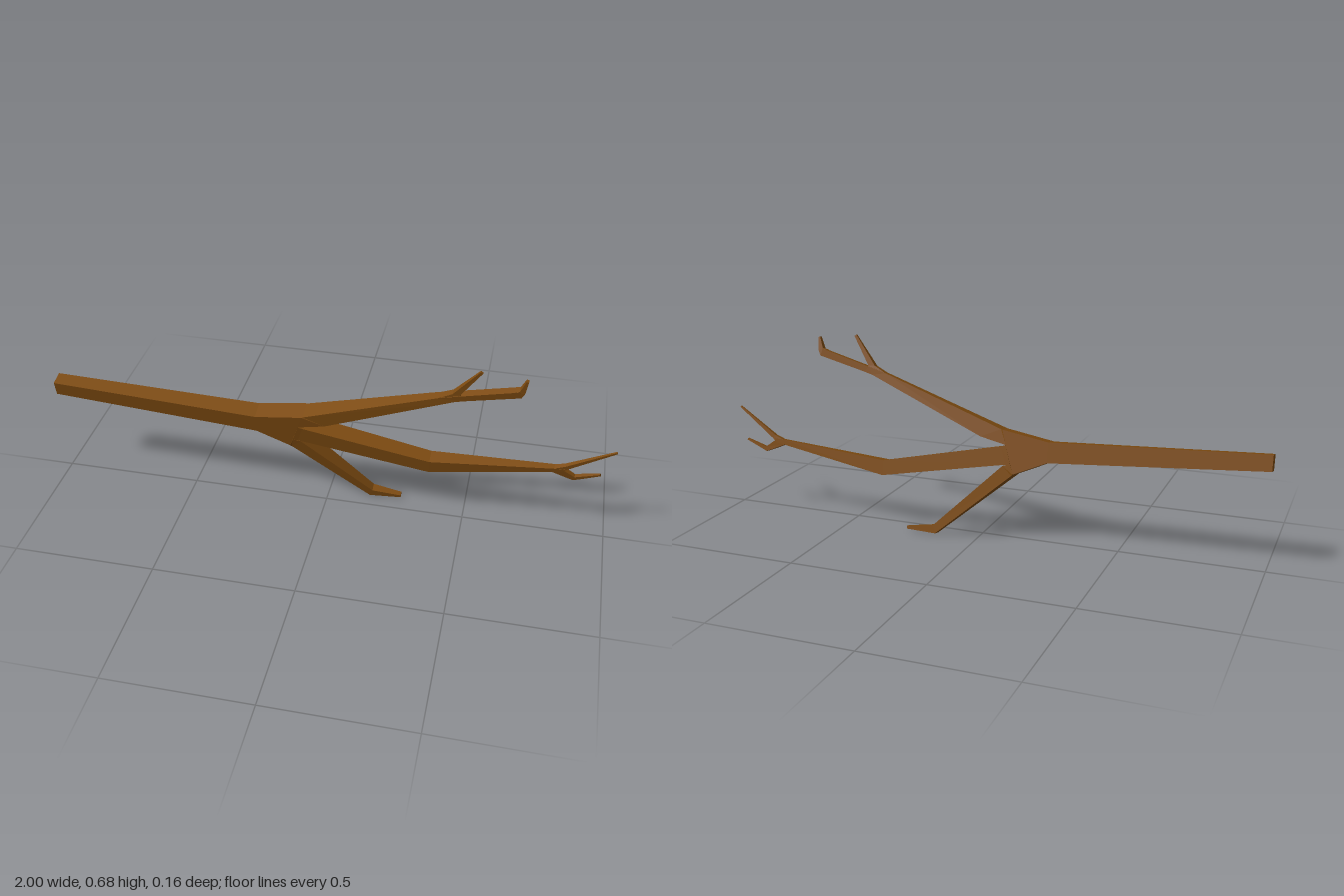
import * as THREE from 'three';

const TILT = 0.213, MID = 0.33;
const bark = new THREE.MeshStandardMaterial({ color: 0x7c4a10, flatShading: true, roughness: 0.9 });

// Four-sided limb lofted through sections [topX, topY, bottomX, bottomY, halfDepth]
function limb(name, sections) {
  const k = 1 / Math.cos(TILT);
  const rings = sections.map(([tx, ty, bx, by, d]) => {
    const t = (ty - MID) * k, b = (by - MID) * k;
    return [[tx, t, d], [bx, b, d], [bx, b, -d], [tx, t, -d]];
  });
  const pos = [];
  const quad = (a, b, c, d) => pos.push(...a, ...b, ...c, ...a, ...c, ...d);
  for (let s = 0; s < rings.length - 1; s++) {
    const a = rings[s], b = rings[s + 1];
    for (let i = 0; i < 4; i++) {
      const j = (i + 1) % 4;
      quad(a[i], a[j], b[j], b[i]);
    }
  }
  const first = rings[0], last = rings[rings.length - 1];
  quad(first[0], first[3], first[2], first[1]);
  quad(...last);
  const geo = new THREE.BufferGeometry();
  geo.setAttribute('position', new THREE.Float32BufferAttribute(pos, 3));
  geo.computeVertexNormals();
  const mesh = new THREE.Mesh(geo, bark);
  mesh.name = name;
  return mesh;
}

export function createModel() {
  const group = new THREE.Group();
  group.name = 'branch';
  // All limbs lie in one plane that leans slightly forward
  const plane = new THREE.Group();
  plane.name = 'limbs';
  plane.position.y = MID;
  plane.rotation.x = TILT;
  group.add(plane);

  plane.add(
    // Main stem, widening into the three-way fork
    limb('stem', [
      [-1, 0.405, -1, 0.351, 0.026],
      [-0.25, 0.369, -0.25, 0.299, 0.034],
      [-0.08, 0.396, -0.13, 0.247, 0.036],
    ]),
    // Upper limb with its hooked end and side twig
    limb('upperLimb', [
      [-0.08, 0.396, -0.097, 0.345, 0.036],
      [-0.075, 0.397, 0, 0.365, 0.034],
      [0.39, 0.55, 0.445, 0.541, 0.015],
      [0.46, 0.568, 0.48, 0.55, 0.014],
      [0.655, 0.618, 0.662, 0.593, 0.013],
    ]),
    limb('upperHook', [
      [0.64, 0.615, 0.662, 0.593, 0.013],
      [0.655, 0.62, 0.672, 0.612, 0.011],
      [0.672, 0.661, 0.68, 0.659, 0.006],
    ]),
    limb('upperTwig', [
      [0.39, 0.549, 0.47, 0.554, 0.014],
      [0.438, 0.573, 0.464, 0.573, 0.011],
      [0.524, 0.678, 0.532, 0.673, 0.004],
    ]),
    // Middle limb splitting into two thin twigs
    limb('middleLimb', [
      [-0.097, 0.345, -0.118, 0.28, 0.036],
      [-0.08, 0.339, -0.1, 0.278, 0.035],
      [0.37, 0.243, 0.37, 0.19, 0.027],
      [0.8, 0.274, 0.79, 0.255, 0.011],
      [0.835, 0.274, 0.825, 0.26, 0.01],
    ]),
    limb('middleLongTwig', [
      [0.8, 0.274, 0.825, 0.26, 0.01],
      [0.835, 0.287, 0.845, 0.275, 0.008],
      [0.994, 0.381, 0.999, 0.377, 0.003],
    ]),
    limb('middleShortTwig', [
      [0.83, 0.27, 0.79, 0.256, 0.01],
      [0.872, 0.24, 0.868, 0.224, 0.008],
      [0.955, 0.264, 0.958, 0.258, 0.004],
    ]),
    // Lower limb with a stubby bent end
    limb('lowerLimb', [
      [-0.118, 0.28, -0.13, 0.247, 0.036],
      [-0.09, 0.273, -0.125, 0.242, 0.034],
      [0.162, 0.035, 0.152, 0.007, 0.016],
      [0.266, 0.019, 0.266, 0.009, 0.009],
    ]),
  );
  return group;
}
